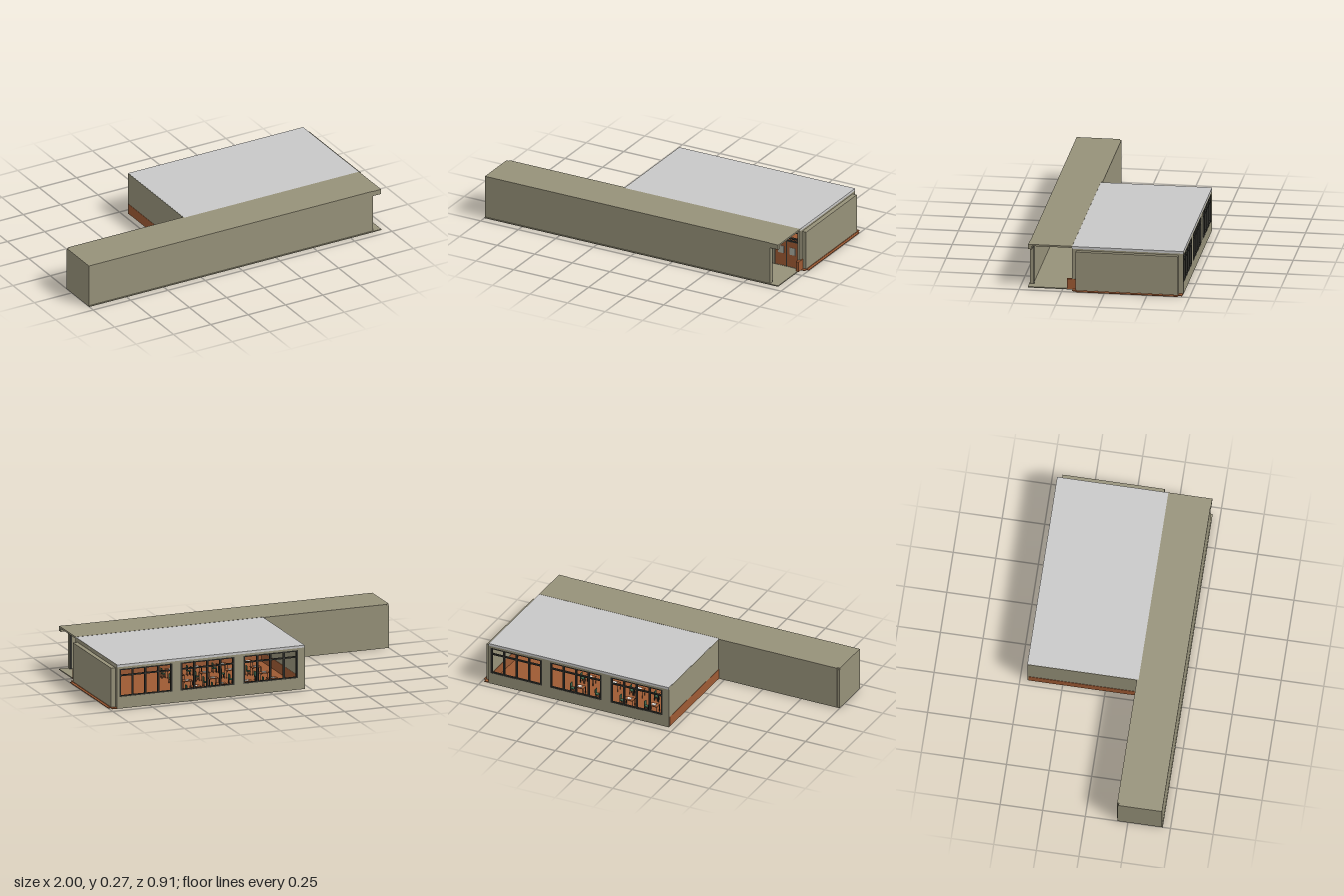
import * as THREE from 'three';

const mat = (name, color) => {
  const m = new THREE.MeshStandardMaterial({ color });
  m.name = name;
  return m;
};

export function createModel() {
  const olive = mat('olive plaster', 0x969179);
  const grey = mat('grey roofing', 0xc8c8c8);
  const orange = mat('orange brown', 0x9d5a33);
  const dark = mat('dark frame', 0x34342f);
  const green = mat('green board', 0x3f6b50);
  const white = mat('white', 0xe2e2de);
  const glass = mat('grey door glass', 0xa9aba0);

  const root = new THREE.Group();
  root.name = 'schoolBuilding';

  // Box given by its lower and upper limits on each axis
  const box = (name, m, x0, x1, y0, y1, z0, z1, parent = root) => {
    const mesh = new THREE.Mesh(new THREE.BoxGeometry(x1 - x0, y1 - y0, z1 - z0), m);
    mesh.position.set((x0 + x1) / 2, (y0 + y1) / 2, (z0 + z1) / 2);
    mesh.name = name;
    parent.add(mesh);
    return mesh;
  };

  // Upright wall in the xy plane with rectangular openings [x0, x1, y0, y1]
  const wallWithHoles = (name, m, x0, x1, y0, y1, z0, depth, holes) => {
    const rect = (T, a, b, c, d) => {
      const p = new T();
      p.moveTo(a, c);
      p.lineTo(b, c);
      p.lineTo(b, d);
      p.lineTo(a, d);
      p.closePath();
      return p;
    };
    const shape = rect(THREE.Shape, x0, x1, y0, y1);
    shape.holes = holes.map((h) => rect(THREE.Path, ...h));
    const mesh = new THREE.Mesh(new THREE.ExtrudeGeometry(shape, { depth, bevelEnabled: false }), m);
    mesh.position.z = z0;
    mesh.name = name;
    root.add(mesh);
  };

  // Corridor shell, open at its right end
  box('corridorFloor', olive, -1, 0.955, 0, 0.006, 0.19, 0.455);
  box('corridorRoof', olive, -1, 0.955, 0.255, 0.265, 0.195, 0.445);
  box('corridorFrontWall', olive, -1, 0.9, 0.006, 0.265, 0.43, 0.45);
  box('corridorFrontBeam', olive, 0.9, 0.955, 0.235, 0.265, 0.43, 0.453);
  box('corridorEndWall', olive, -1, -0.985, 0.006, 0.255, 0.19, 0.43);
  box('corridorBackWall', olive, -0.985, -0.215, 0.006, 0.265, 0.185, 0.198);
  box('corridorWallEdge', dark, 0.885, 0.9, 0.006, 0.24, 0.425, 0.43);

  // Classroom shell
  box('classroomFloor', orange, -0.215, 0.985, 0, 0.006, -0.455, 0.19);
  box('floorLedge', orange, 0.985, 1, 0, 0.004, -0.43, 0.17);
  box('classroomRoof', grey, -0.215, 0.955, 0.25, 0.264, -0.458, 0.195);
  box('leftWall', olive, 0.94, 0.955, 0.006, 0.263, -0.455, 0.195);
  box('leftOuterPanel', olive, 0.955, 0.982, 0.006, 0.24, -0.43, 0.17);
  box('rightWall', olive, -0.217, -0.2, 0.006, 0.263, -0.455, 0.19);

  // Wall between corridor and classroom with an opening for the doorway
  wallWithHoles('innerWall', olive, -0.215, 0.945, 0.006, 0.255, 0.18, 0.014, [[0.785, 0.942, 0.008, 0.236]]);

  // Wainscot bands
  box('rightOuterWainscot', orange, -0.219, -0.217, 0.004, 0.066, -0.45, 0.185);
  box('rightInnerWainscot', orange, -0.2, -0.198, 0.006, 0.066, -0.43, 0.18);
  box('leftInnerWainscot', orange, 0.938, 0.94, 0.006, 0.066, -0.43, 0.18);
  box('innerWallWainscot', orange, -0.2, 0.785, 0.006, 0.066, 0.178, 0.18);
  box('doorPostWainscot', orange, 0.944, 0.962, 0.004, 0.066, 0.17, 0.225);

  // Window wall with three openings
  const windows = [[-0.175, 0.165], [0.222, 0.558], [0.61, 0.942]];
  const sill = 0.07, head = 0.238;
  wallWithHoles('windowWall', olive, -0.217, 0.955, 0, 0.25, -0.457, 0.024,
    windows.map(([a, b]) => [a, b, sill, head]));

  // Window frames: mullions, transom, head and sill bars
  windows.forEach(([a, b], i) => {
    const g = new THREE.Group();
    g.name = 'windowFrame' + (i + 1);
    root.add(g);
    const t = 0.005;
    for (let k = 0; k <= 4; k++) {
      const x = a + t + ((b - a - 2 * t) * k) / 4;
      box('mullion', dark, x - t, x + t, sill, head, -0.457, -0.444, g);
    }
    for (const y of [sill + 0.003, 0.197, head - 0.004]) {
      box('crossBar', dark, a, b, y - 0.004, y + 0.004, -0.456, -0.445, g);
    }
  });

  // Double door with a glazed panel in each leaf and an open transom above
  const door = new THREE.Group();
  door.name = 'doubleDoor';
  root.add(door);
  for (const [a, b] of [[0.79, 0.863], [0.867, 0.94]]) {
    box('doorLeaf', orange, a, b, 0.008, 0.165, 0.182, 0.192, door);
    for (const z of [0.1925, 0.1815]) {
      box('doorGlass', glass, a + 0.018, b - 0.018, 0.085, 0.13, z - 0.001, z + 0.001, door);
    }
  }
  for (const y of [0.17, 0.188, 0.232]) {
    box('transomBar', dark, 0.785, 0.942, y - 0.004, y + 0.004, 0.18, 0.194, door);
  }
  for (const x of [0.788, 0.865, 0.941]) {
    box('doorPost', dark, x - 0.003, x + 0.003, 0.008, 0.236, 0.18, 0.194, door);
  }

  // Corridor notice board
  box('noticeBoard', green, 0.6, 0.76, 0.09, 0.18, 0.194, 0.199);

  // Ceiling lamps
  for (const z of [-0.27, 0]) {
    for (const x of [0, 0.37, 0.74]) box('ceilingLamp', white, x - 0.09, x + 0.09, 0.242, 0.25, z - 0.012, z + 0.012);
  }

  // Desks with chairs, in rows
  const addDesk = (x, z) => {
    const g = new THREE.Group();
    g.name = 'deskAndChair';
    g.position.set(x, 0, z);
    root.add(g);
    box('deskTop', orange, -0.03, 0.03, 0.05, 0.054, -0.02, 0.02, g);
    box('paper', white, -0.012, 0.012, 0.054, 0.056, -0.01, 0.01, g);
    box('chairSeat', green, 0.035, 0.058, 0.03, 0.034, -0.012, 0.012, g);
    box('chairBack', green, 0.055, 0.059, 0.04, 0.065, -0.012, 0.012, g);
    for (const s of [-1, 1]) {
      for (const lx of [-0.027, 0.027]) box('deskLeg', dark, lx - 0.0015, lx + 0.0015, 0.006, 0.05, s * 0.017 - 0.0015, s * 0.017 + 0.0015, g);
      for (const [lx, h] of [[0.037, 0.03], [0.057, 0.04]]) box('chairLeg', dark, lx - 0.0015, lx + 0.0015, 0.006, h, s * 0.01 - 0.0015, s * 0.01 + 0.0015, g);
    }
  };
  for (let i = 0; i < 4; i++) {
    for (let j = 0; j < 4; j++) addDesk(-0.06 + i * 0.16, -0.34 + j * 0.13);
  }
  return root;
}
